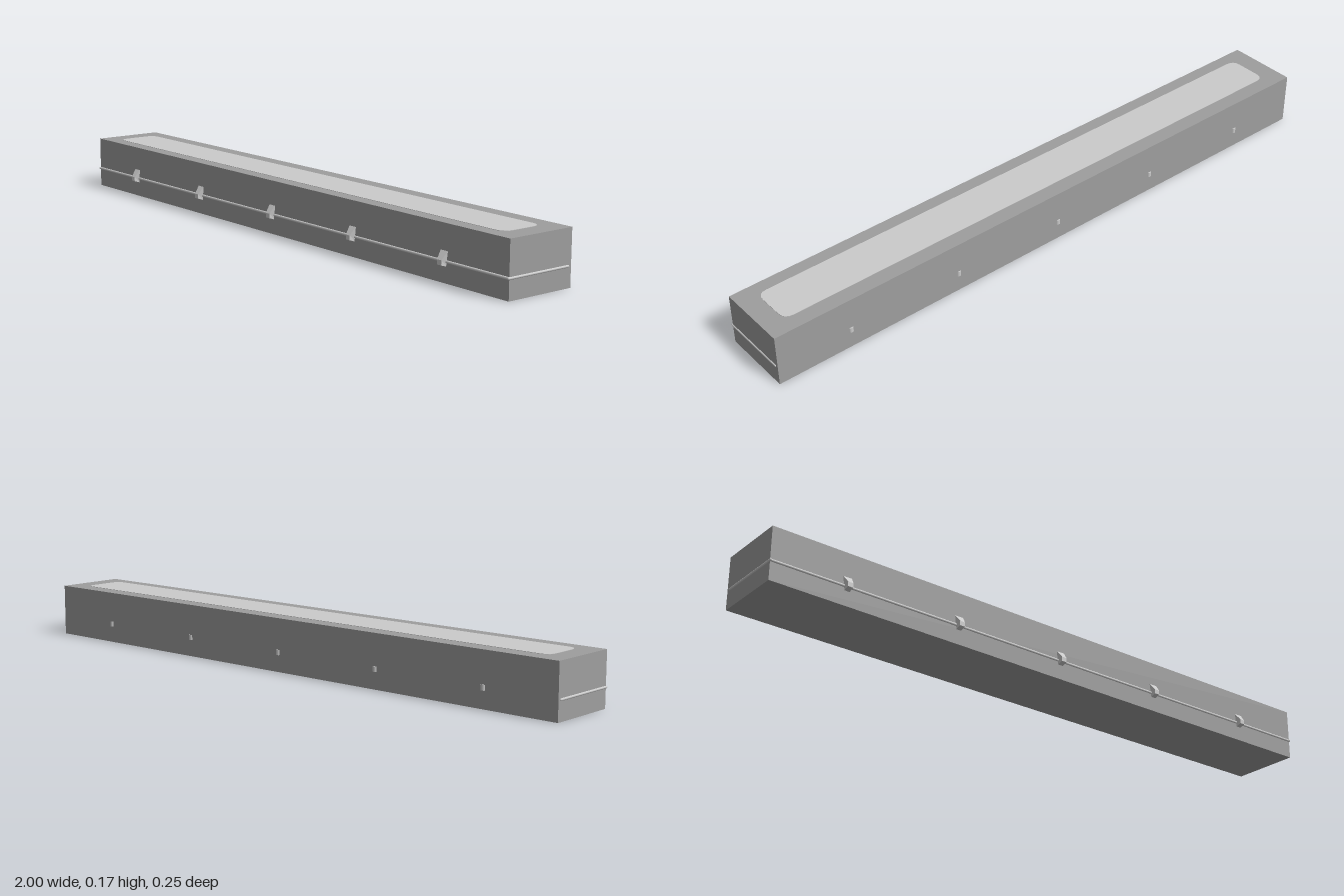
import * as THREE from 'three';

const BACK = -0.12, FRONT = 0.107, TOP = 0.164, HALF = 0.997, BEAD_Y = 0.06;

export function createModel() {
  const group = new THREE.Group();
  const shell = new THREE.MeshStandardMaterial({ color: 0x9e9e9e });
  const trim = new THREE.MeshStandardMaterial({ color: 0xcccccc });
  const flatTrim = new THREE.MeshStandardMaterial({ color: 0xcccccc, flatShading: true });

  const add = (name, geometry, material, x = 0, y = 0, z = 0) => {
    const mesh = new THREE.Mesh(geometry, material);
    mesh.name = name;
    mesh.position.set(x, y, z);
    group.add(mesh);
    return mesh;
  };

  // Long case body
  add('caseBody', new THREE.BoxGeometry(HALF * 2, TOP, FRONT - BACK), shell,
    0, TOP / 2, (FRONT + BACK) / 2);

  // Thin lid panel with rounded corners
  const w = 0.933, d = 0.068, r = 0.03;
  const outline = new THREE.Shape();
  outline.moveTo(-w + r, -d);
  outline.lineTo(w - r, -d);
  outline.quadraticCurveTo(w, -d, w, -d + r);
  outline.lineTo(w, d - r);
  outline.quadraticCurveTo(w, d, w - r, d);
  outline.lineTo(-w + r, d);
  outline.quadraticCurveTo(-w, d, -w, d - r);
  outline.lineTo(-w, -d + r);
  outline.quadraticCurveTo(-w, -d, -w + r, -d);
  const panel = add('lidPanel',
    new THREE.ExtrudeGeometry(outline, { depth: 0.002, bevelEnabled: false, curveSegments: 4 }),
    trim, 0, TOP - 0.001, -0.003);
  panel.rotation.x = -Math.PI / 2;

  // Seam bead along the front and both ends
  const beadRadius = 0.004;
  const frontBead = add('frontBead', new THREE.CapsuleGeometry(beadRadius, HALF * 2 - 0.002, 4, 10),
    trim, 0, BEAD_Y, FRONT);
  frontBead.rotation.z = Math.PI / 2;
  for (const side of [-1, 1]) {
    const bead = add(side > 0 ? 'leftBead' : 'rightBead',
      new THREE.CapsuleGeometry(beadRadius, 0.217, 4, 10), trim,
      side * (HALF - 0.001), BEAD_Y, 0);
    bead.rotation.x = Math.PI / 2;
  }

  // Clasp side profile, drawn as (z, y) and extruded across x
  const profile = new THREE.Shape([
    [-0.004, 0.045], [0.018, 0.052], [0.018, 0.066], [0, 0.089], [-0.004, 0.089],
  ].map(([z, y]) => new THREE.Vector2(z, y)));
  const claspGeometry = new THREE.ExtrudeGeometry(profile, { depth: 1, bevelEnabled: false });
  claspGeometry.translate(0, 0, -0.5);
  claspGeometry.rotateY(-Math.PI / 2);
  // Widen the clasp towards its top
  const p = claspGeometry.attributes.position;
  for (let i = 0; i < p.count; i++) {
    const width = p.getY(i) > 0.08 ? 0.028 : 0.017;
    p.setX(i, p.getX(i) * width);
  }
  claspGeometry.computeVertexNormals();

  // Front clasps and back hinge knuckles, evenly spaced
  const hingeGeometry = new THREE.CylinderGeometry(0.008, 0.008, 0.016, 12);
  for (let i = -2; i <= 2; i++) {
    const x = i * 0.378;
    add('clasp', claspGeometry, flatTrim, x, 0, FRONT);
    add('hinge', hingeGeometry, trim, x, BEAD_Y, BACK + 0.004);
  }
  return group;
}
